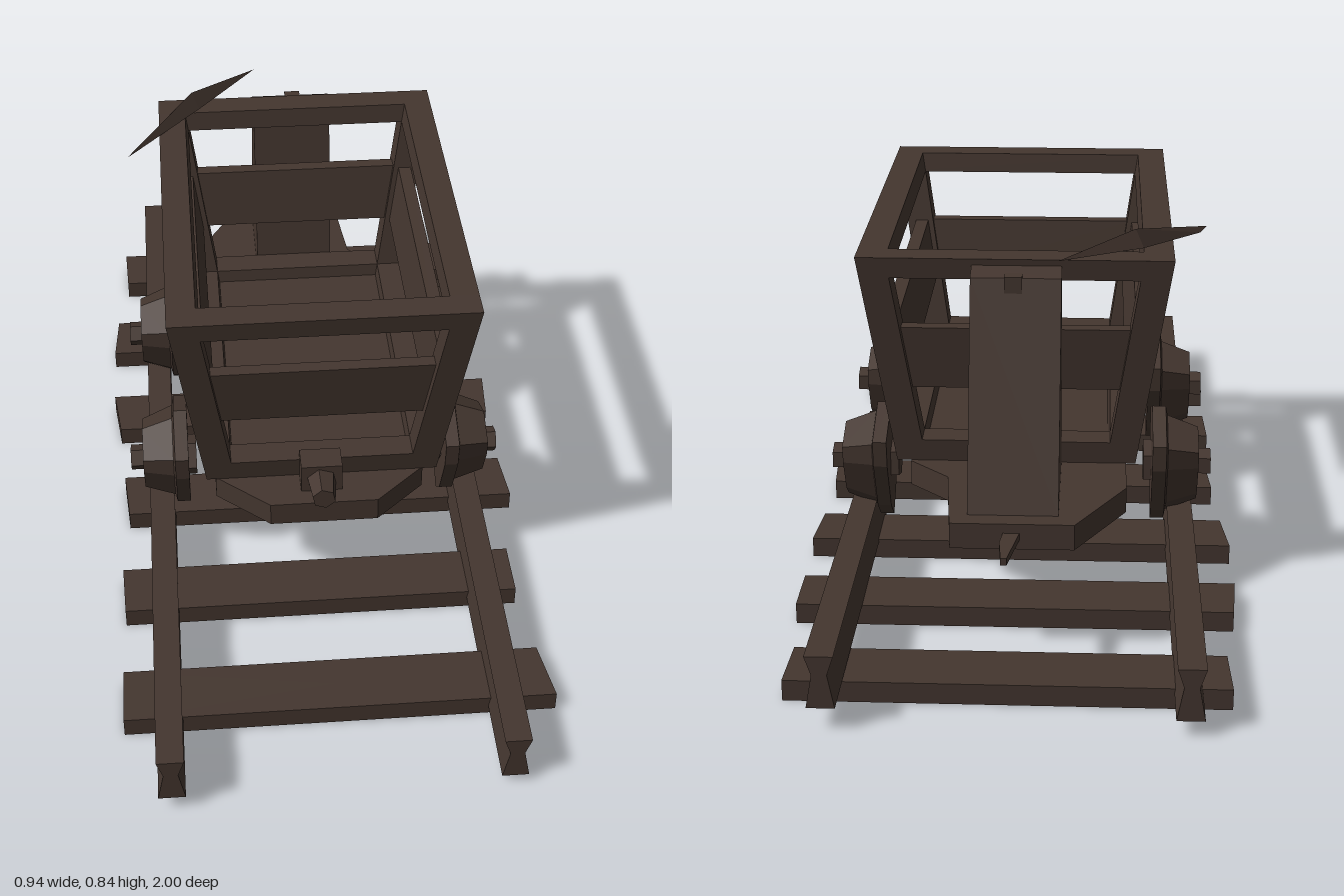
import * as THREE from 'three';
import { ConvexGeometry } from 'three/addons/geometries/ConvexGeometry.js';

const wood = new THREE.MeshStandardMaterial({ color: 0x44362f });
wood.name = 'dark brown';

// Faceted solid through matching rings of [x, y, z] points, with fan caps.
function loft(rings) {
  const n = rings[0].length, tris = [];
  const centre = r => [0, 1, 2].map(k => r.reduce((s, p) => s + p[k], 0) / n);
  const first = rings[0], last = rings[rings.length - 1];
  const c0 = centre(first), c1 = centre(last);
  for (let i = 0; i < n; i++) {
    const j = (i + 1) % n;
    for (let r = 0; r < rings.length - 1; r++) {
      const a = rings[r], b = rings[r + 1];
      tris.push([a[i], a[j], b[j]], [a[i], b[j], b[i]]);
    }
    tris.push([c0, first[j], first[i]], [c1, last[i], last[j]]);
  }
  // turn the faces outward
  let volume = 0;
  for (const [a, b, c] of tris) {
    volume += a[0] * (b[1] * c[2] - b[2] * c[1]) + a[1] * (b[2] * c[0] - b[0] * c[2])
      + a[2] * (b[0] * c[1] - b[1] * c[0]);
  }
  if (volume < 0) tris.forEach(t => t.reverse());
  const g = new THREE.BufferGeometry();
  g.setAttribute('position', new THREE.Float32BufferAttribute(tris.flat(2), 3));
  g.computeVertexNormals();
  return g;
}

// Box from its limits.
function box(x0, x1, y0, y1, z0, z1) {
  return new THREE.BoxGeometry(x1 - x0, y1 - y0, z1 - z0)
    .translate((x0 + x1) / 2, (y0 + y1) / 2, (z0 + z1) / 2);
}

// Lean the walls inward toward the bottom, as on a hopper.
function hopper(geometry) {
  const g = geometry.toNonIndexed(), p = g.attributes.position;
  for (let i = 0; i < p.count; i++) {
    const t = (0.785 - p.getY(i)) / 0.475;
    p.setX(i, p.getX(i) - Math.sign(p.getX(i)) * 0.07 * t);
    p.setZ(i, p.getZ(i) - Math.sign(p.getZ(i)) * 0.065 * t - 0.03);
  }
  g.computeVertexNormals();
  return g;
}

export function createModel() {
  const model = new THREE.Group();
  model.name = 'mineCart';
  const group = name => {
    const g = new THREE.Group();
    g.name = name;
    model.add(g);
    return g;
  };
  const add = (name, geometry, parent = model) => {
    const m = new THREE.Mesh(geometry, wood);
    m.name = name;
    parent.add(m);
    return m;
  };

  // Sleepers: z limits, then left and right ends at the back and at the front
  const track = group('track');
  [
    [-0.89, -0.76, -0.445, 0.44, -0.44, 0.435],
    [-0.58, -0.45, -0.465, 0.46, -0.475, 0.46],
    [-0.27, -0.14, -0.475, 0.47, -0.46, 0.46],
    [0.04, 0.17, -0.45, 0.46, -0.44, 0.47],
    [0.355, 0.485, -0.455, 0.43, -0.45, 0.43],
    [0.665, 0.8, -0.455, 0.445, -0.455, 0.465],
  ].forEach(([z0, z1, a, b, c, d]) => {
    const ring = y => [[a, y, z0], [b, y, z0], [d, y, z1], [c, y, z1]];
    add('sleeper', loft([ring(0), ring(0.045)]), track);
  });

  // Waisted rails, the left one tilted up toward the back
  const section = [[-0.028, 0], [0.028, 0], [0.015, 0.068], [0.028, 0.106],
    [-0.028, 0.106], [-0.015, 0.068]];
  const rail = (name, x, zFront, yFront, zBack, yBack) => add(name, loft([
    section.map(([u, v]) => [x + u, yFront + v, zFront]),
    section.map(([u, v]) => [x + u, yBack + v * 1.05, zBack]),
  ]), track);
  rail('rightRail', -0.358, 1, 0.035, -0.99, 0.035);
  rail('leftRail', 0.347, 0.985, 0.018, -1, 0.052);

  // Chassis deck with cut corners
  const deck = [[-0.12, 0.45], [0.115, 0.45], [0.225, 0.35], [0.225, -0.42], [0.14, -0.5],
    [0.12, -0.72], [-0.13, -0.72], [-0.235, -0.54], [-0.235, 0.35]];
  const deckRing = y => deck.map(([x, z]) => [x, y, z]);
  add('deck', loft([deckRing(0.255), deckRing(0.31)]));

  // Hopper frame
  const body = group('hopper');
  const X = 0.325, Z = 0.45, T = 0.062;
  for (const s of [-1, 1]) {
    const span = (outer, inner) => (s > 0 ? [inner, outer] : [-outer, -inner]);
    for (const [y0, y1, label] of [[0.74, 0.785, 'topRail'], [0.31, 0.36, 'bottomRail']]) {
      add(label, hopper(box(-X, X, y0, y1, ...span(Z, Z - T))), body);
      add(label, hopper(box(...span(X, X - T), y0, y1, -Z + T, Z - T)), body);
    }
    for (const q of [-1, 1]) {
      const zs = q > 0 ? [Z - T, Z] : [-Z, -Z + T];
      add('cornerPost', hopper(box(...span(X, X - T), 0.36, 0.74, ...zs)), body);
    }
    // planks set into the frame
    add('endPlank', hopper(box(-X + 0.05, X - 0.05, 0.48, 0.62, ...span(Z - 0.02, Z - 0.05))), body);
    add('sidePlank', hopper(box(...span(X - 0.02, X - 0.05), 0.48, 0.62, -Z + 0.05, Z - 0.05)), body);
  }
  add('floor', box(-0.2, 0.2, 0.305, 0.33, -0.36, 0.3), body);

  // Sloping brake housing at the back
  const housing = [[0.31, -0.415], [0.31, -0.68], [0.76, -0.525], [0.772, -0.48]];
  add('brakeHousing', loft([-0.097, 0.087].map(x => housing.map(([y, z]) => [x, y, z]))));
  add('leverPivot', box(-0.018, 0.018, 0.73, 0.765, -0.535, -0.5));

  // Brake lever: a flat spindle with a raised middle
  add('brakeLever', new ConvexGeometry([
    [-0.09, 0.811, -0.568], [-0.245, 0.836, -0.425], [-0.4, 0.785, -0.23], [-0.385, 0.781, -0.265],
    [-0.228, 0.8, -0.41], [-0.262, 0.8, -0.44], [-0.25, 0.792, -0.42],
  ].map(p => new THREE.Vector3(...p))));

  // Couplings
  add('rearHook', loft([0.275, 0.29].map(y => [
    [-0.022, y, -0.71], [0.012, y, -0.71], [0.018, y, -0.76], [0.012, y, -0.83], [0, y, -0.83],
  ])));
  add('frontBuffer', box(-0.05, 0.04, 0.31, 0.378, 0.35, 0.41));
  const knob = new THREE.CylinderGeometry(0.026, 0.034, 0.065, 6).rotateX(Math.PI / 2)
    .rotateZ(0.2).translate(-0.005, 0.338, 0.437).toNonIndexed();
  knob.computeVertexNormals();
  add('frontKnob', knob);

  // Crude wheels: flange, tapered tread, hubs; outline as [z, y]
  const outline = [[0, -0.138], [0.05, -0.095], [0.108, 0.025], [0.115, 0.085], [0, 0.134],
    [-0.115, 0.085], [-0.108, 0.025], [-0.05, -0.095]];
  const wheels = group('wheels');
  for (const side of [-1, 1]) {
    for (const z of [0.2, -0.265]) {
      const ring = (x, k) => outline.map(([u, v]) => [side * x - 0.005, 0.248 + v * k, z + u * k]);
      add('wheel', loft([ring(0.288, 1), ring(0.318, 1), ring(0.322, 0.84), ring(0.39, 0.64)]), wheels);
      for (const [name, x, len, r] of [['innerHub', 0.28, 0.02, 0.048], ['outerHub', 0.402, 0.034, 0.03]]) {
        const hub = new THREE.CylinderGeometry(r, r, len, 5).rotateZ(Math.PI / 2)
          .translate(side * x - 0.005, 0.25, z).toNonIndexed();
        hub.computeVertexNormals();
        add(name, hub, wheels);
      }
    }
  }
  return model;
}
